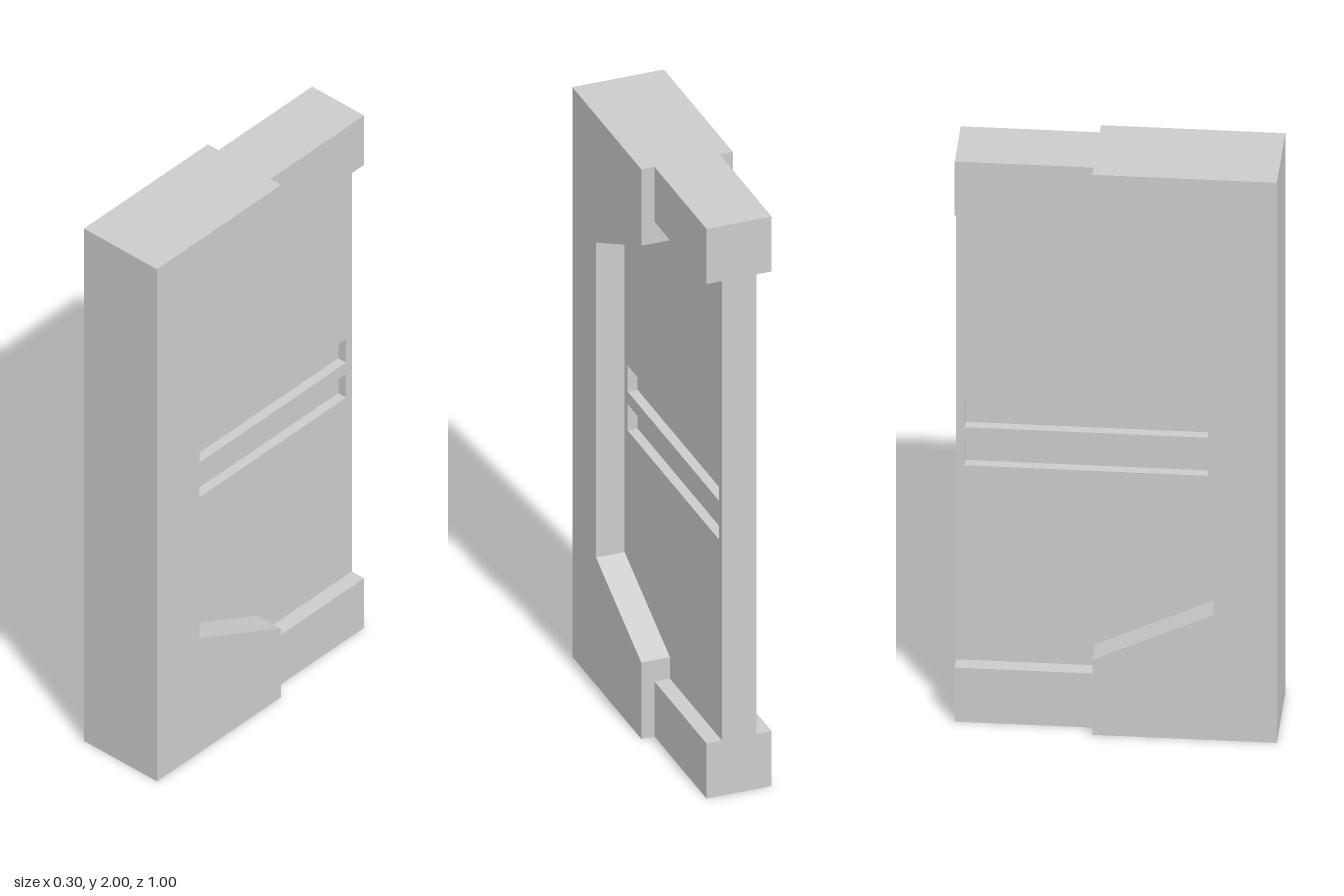
import * as THREE from 'three';

const FRAME = 0.152, BLOCK = 0.108, PANEL = 0.057, SLOT_DEPTH = 0.033; // half widths in x, slot depth

export function createModel() {
  const group = new THREE.Group();
  const material = new THREE.MeshStandardMaterial({ color: 0xcccccc, flatShading: true });

  const outline = (points, Type = THREE.Shape) =>
    new Type(points.map(([z, y]) => new THREE.Vector2(-z, y)));

  // Extrudes a side outline given as [z, y] across the width x0..x1
  function slab(name, shape, x0, x1) {
    const geometry = new THREE.ExtrudeGeometry(shape, { depth: x1 - x0, bevelEnabled: false });
    geometry.translate(0, 0, x0);
    geometry.rotateY(Math.PI / 2);
    const mesh = new THREE.Mesh(geometry, material);
    mesh.name = name;
    group.add(mesh);
  }

  // Edge of the cut-out in the frame, top to bottom
  const cutout = [[-0.07, 1.732], [0.304, 1.553], [0.304, 0.447], [-0.07, 0.268]];

  // Thick front frame
  slab('frame', outline([[0.5, 0], [0.5, 2], [-0.07, 2], ...cutout, [-0.07, 0]]), -FRAME, FRAME);

  // Rear blocks at the top and bottom
  for (const [name, y0, y1] of [['bottomBlock', 0, 0.193], ['topBlock', 1.807, 2]]) {
    slab(name, outline([[-0.07, y0], [-0.07, y1], [-0.5, y1], [-0.5, y0]]), -BLOCK, BLOCK);
  }

  // Thin panel: a solid core with a slotted skin on each side
  const panelPoints = [[-0.5, 1.807], [-0.07, 1.807], ...cutout, [-0.07, 0.193], [-0.5, 0.193]];
  const core = PANEL - SLOT_DEPTH;
  slab('panelCore', outline(panelPoints), -core, core);

  const skin = outline(panelPoints);
  for (const y of [0.933, 1.069]) {
    skin.holes.push(outline(
      [[0.279, y - 0.046], [0.279, y + 0.046], [-0.474, y + 0.046], [-0.474, y - 0.046]], THREE.Path));
  }
  slab('leftSlottedSkin', skin, core, PANEL);
  slab('rightSlottedSkin', skin, -PANEL, -core);

  return group;
}
